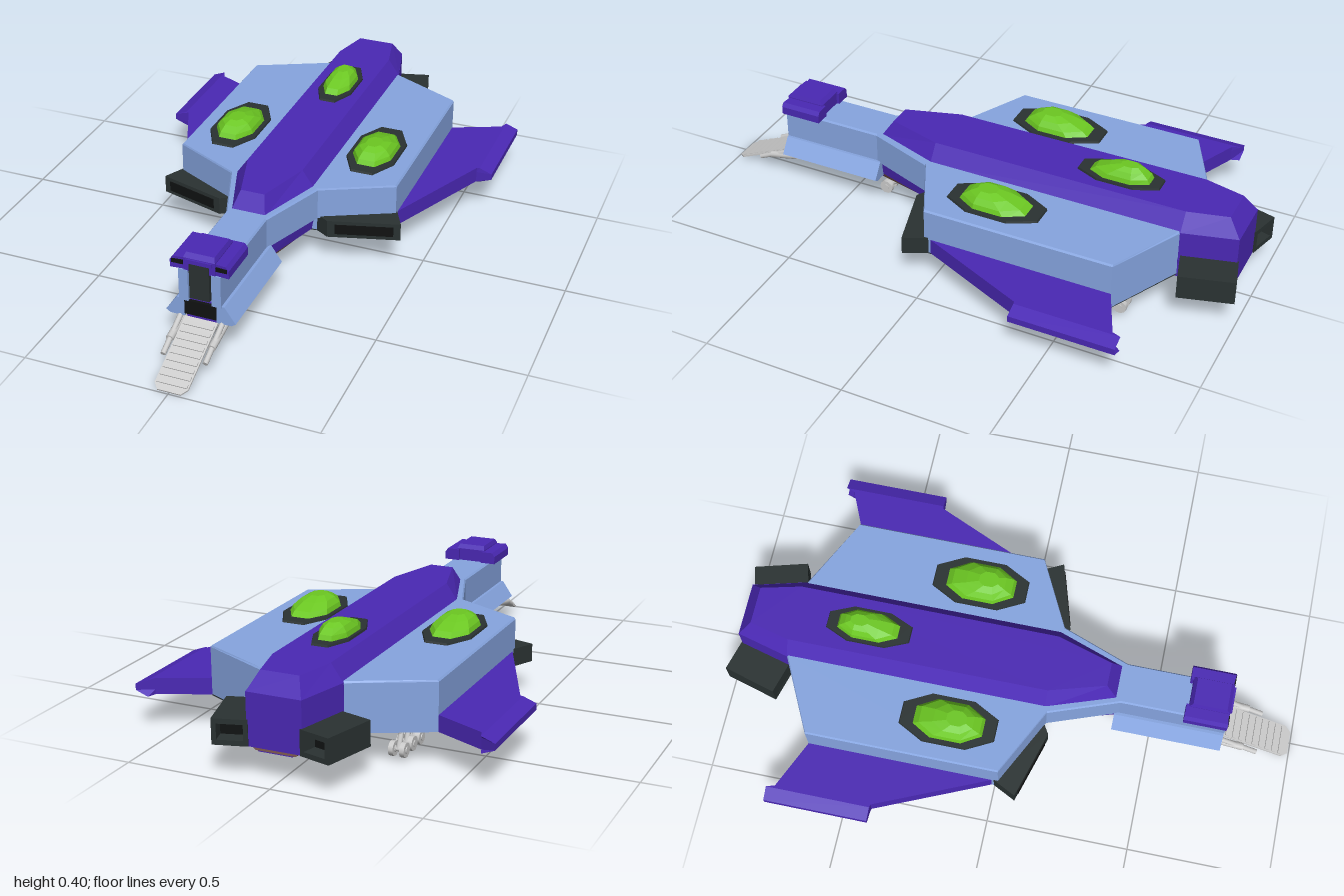
import * as THREE from 'three';

const mat = (color) => new THREE.MeshStandardMaterial({ color });
const M = {
  blue: mat(0x86a5e0), purple: mat(0x4a28b4), dark: mat(0x2a3232), black: mat(0x101212),
  green: mat(0x6cc822), brown: mat(0x805a50), grey: mat(0xcccccc),
};

// Mirror a half outline of [x, z] points across x = 0
const mirror = (half) => [...half, ...half.map(([x, z]) => [-x, z]).reverse()];
const flip = (pts) => pts.map(([x, z]) => [-x, z]);

// Faceted solid through horizontal outlines, bottom to top: [[y, points], ...]
function loft(levels) {
  let rings = levels.map(([y, pts]) => pts.map(([x, z]) => new THREE.Vector3(x, y, z)));
  const flat = (r) => r.map((p) => new THREE.Vector2(p.x, -p.z));
  if (THREE.ShapeUtils.area(flat(rings[0])) < 0) rings = rings.map((r) => r.slice().reverse());
  const tri = [];
  const n = rings[0].length;
  for (let k = 0; k + 1 < rings.length; k++) {
    for (let i = 0; i < n; i++) {
      const j = (i + 1) % n;
      const a = rings[k][i], b = rings[k][j], c = rings[k + 1][j], d = rings[k + 1][i];
      tri.push(a, b, c, a, c, d);
    }
  }
  const bottom = rings[0], top = rings[rings.length - 1];
  for (const [a, b, c] of THREE.ShapeUtils.triangulateShape(flat(bottom), [])) tri.push(bottom[c], bottom[b], bottom[a]);
  for (const [a, b, c] of THREE.ShapeUtils.triangulateShape(flat(top), [])) tri.push(top[a], top[b], top[c]);
  const g = new THREE.BufferGeometry().setFromPoints(tri);
  g.computeVertexNormals();
  return g;
}

function add(parent, name, geometry, material, x = 0, y = 0, z = 0) {
  const m = new THREE.Mesh(geometry, material);
  m.name = name;
  m.position.set(x, y, z);
  parent.add(m);
  return m;
}
const box = (w, h, d) => new THREE.BoxGeometry(w, h, d);

// Round bar between two points
function rod(parent, name, a, b, r) {
  const p = new THREE.Vector3(...a), d = new THREE.Vector3(...b).sub(p);
  const m = add(parent, name, new THREE.CylinderGeometry(r, r, d.length(), 10), M.grey);
  m.position.copy(p).addScaledVector(d, 0.5);
  m.quaternion.setFromUnitVectors(new THREE.Vector3(0, 1, 0), d.normalize());
}

// Long octagon outline
const octagon = (w, d, z = 0) => mirror([[w * 0.45, z + d], [w, z + d * 0.45], [w, z - d * 0.45], [w * 0.45, z - d]]);

// Faceted canopy on a dark base plate; dir tells which way the peak leans
function canopy(parent, x, y, z, w, d, dir) {
  const g = new THREE.Group();
  g.name = 'canopy';
  g.position.set(x, y, z);
  add(g, 'canopyBase', loft([[-0.01, octagon(w, d)], [0.006, octagon(w * 0.95, d * 0.96)]]), M.dark);
  add(g, 'canopyGlass', loft([
    [0, octagon(w * 0.8, d * 0.74)],
    [0.022, octagon(w * 0.72, d * 0.62, dir * 0.008)],
    [0.04, octagon(w * 0.55, d * 0.4, dir * 0.02)],
    [0.052, octagon(w * 0.3, d * 0.2, dir * 0.03)],
  ]), M.green);
  parent.add(g);
}

// Strut with a twin wheel at the foot
function wheelLeg(parent, x, zTop, yTop, zFoot, gap) {
  const g = new THREE.Group();
  g.name = 'landingLeg';
  rod(g, 'strut', [x, yTop, zTop], [x, 0.037, zFoot], 0.009);
  rod(g, 'damper', [x, yTop, zTop - 0.02], [x, 0.075, (zTop + zFoot) / 2], 0.006);
  rod(g, 'axle', [x - gap, 0.037, zFoot], [x + gap, 0.037, zFoot], 0.008);
  for (const s of [-1, 1]) {
    const r = 0.025;
    rod(g, 'wheel', [x + s * gap - 0.008, 0.037, zFoot], [x + s * gap + 0.008, 0.037, zFoot], r);
    rod(g, 'hub', [x + s * gap - 0.011, 0.037, zFoot], [x + s * gap + 0.011, 0.037, zFoot], r * 0.45);
  }
  parent.add(g);
}

export function createModel() {
  const ship = new THREE.Group();
  ship.name = 'spaceship';

  // Upper hull with neck
  const hull = (i) => mirror([[0.072 - i, 0.735], [0.072 - i, 0.38], [0.16 - i, 0.14], [0.4 - i, 0.02], [0.4 - i, -0.65], [0.14, -0.78 + i]]);
  add(ship, 'upperHull', loft([[0.175, hull(0)], [0.284, hull(0)], [0.29, hull(0.005)]]), M.blue);

  // Keel, brown trim and belly plate
  const keel = (w, s) => mirror([[s, 0.74], [s, 0.37], [w, 0.13], [w, -0.78], [w * 0.68, -0.96]]);
  add(ship, 'keel', loft([[0.12, keel(0.135, 0.06)], [0.18, keel(0.145, 0.068)]]), M.purple);
  const trim = (w, s) => mirror([[s, 0.37], [w, 0.13], [w, -0.78], [w * 0.68, -0.96]]);
  add(ship, 'brownTrim', loft([[0.1, trim(0.1, 0.05)], [0.12, trim(0.13, 0.06)]]), M.brown);
  add(ship, 'bellyPlate', loft([[0.097, keel(0.085, 0.045)], [0.121, keel(0.095, 0.055)]]), M.purple);

  // Spine ridge and tail block
  const ridge = (w, s, zf, zb) => mirror([[s, zf], [w, 0.13], [w, -0.78], [w * 0.66, zb]]);
  add(ship, 'spine', loft([[0.285, ridge(0.142, 0.06, 0.365, -0.965)], [0.345, ridge(0.1, 0.042, 0.325, -0.92)]]), M.purple);
  const tail = mirror([[0.142, -0.74], [0.142, -0.78], [0.094, -0.965]]);
  add(ship, 'tailBlock', loft([[0.11, tail], [0.286, tail]]), M.purple);

  // Canopies
  canopy(ship, 0, 0.346, -0.515, 0.066, 0.15, -1);
  for (const s of [-1, 1]) canopy(ship, s * 0.26, 0.291, -0.18, 0.09, 0.17, 1);

  for (const s of [-1, 1]) {
    const side = (pts) => (s > 0 ? pts : flip(pts));

    // Lower hull and underside panel
    const lower = [[0.13, 0.13], [0.18, 0.125], [0.4, 0.02], [0.4, -0.65], [0.14, -0.78], [0.12, -0.7]];
    add(ship, 'lowerHull', loft([[0.12, side(lower)], [0.18, side(lower)]]), M.blue);
    if (s > 0) add(ship, 'undersidePanel', loft([[0.117, side(lower)], [0.121, side(lower)]]), M.dark);

    // Wing with a thinned tip
    const wing = (tip, in_) => side([[0.39, 0.02], [0.57, -0.39], [tip, -0.392 - in_], [tip, -0.755 + in_], [0.57, -0.725], [0.39, -0.645]]);
    add(ship, 'wing', loft([[0.12, wing(0.58, 0)], [0.137, wing(0.625, 0)], [0.159, wing(0.625, 0)], [0.176, wing(0.58, 0)]]), M.purple);

    // Front intake pod with slot
    const pod = [[0.14, 0.06], [0.15, 0.125], [0.2, 0.155], [0.44, 0.085], [0.395, -0.005]];
    add(ship, 'intakePod', loft([[0.118, side(pod)], [0.181, side(pod)]]), M.dark);
    const slot = add(ship, 'intakeSlot', box(0.2, 0.036, 0.01), M.black, s * 0.32, 0.15, 0.118);
    slot.rotation.y = s * 0.284;

    // Rear engine with nozzle
    const engine = new THREE.Group();
    engine.name = 'engine';
    engine.position.set(s * 0.168, 0.153, -0.892);
    engine.rotation.y = s * 0.27;
    const shape = new THREE.Shape([[-0.057, -0.043], [0.057, -0.043], [0.057, 0.043], [-0.057, 0.043]].map((p) => new THREE.Vector2(...p)));
    shape.holes.push(new THREE.Path([[-0.042, -0.026], [-0.042, 0.026], [0.042, 0.026], [0.042, -0.026]].map((p) => new THREE.Vector2(...p))));
    add(engine, 'engineShell', new THREE.ExtrudeGeometry(shape, { depth: 0.19, bevelEnabled: false }), M.dark, 0, 0, -0.095);
    add(engine, 'engineCore', box(0.09, 0.06, 0.13), M.black, 0, 0, 0.02);
    add(engine, 'engineFront', box(0.11, 0.08, 0.02), M.dark, 0, 0, 0.084);
    ship.add(engine);

    // Neck flank, sloping outward and down
    const flank = (x) => side([[0.055, 0.75], [x, 0.75], [x, 0.365], [0.055, 0.365]]);
    add(ship, 'neckFlank', loft([[0.115, flank(0.105)], [0.125, flank(0.12)], [0.18, flank(0.082)]]), M.blue);

    // Hood ear with dark vent
    const ear = (o) => side([[0.045, 0.745], [o, 0.75], [o, 0.6], [0.045, 0.6]]);
    add(ship, 'hoodEar', loft([[0.29, ear(0.1)], [0.318, ear(0.1)], [0.332, ear(0.09)]]), M.purple);
    add(ship, 'hoodVent', box(0.038, 0.014, 0.01), M.black, s * 0.075, 0.316, 0.747);

    // Door posts
    add(ship, 'doorPost', box(0.032, 0.115, 0.02), M.blue, s * 0.056, 0.2325, 0.742);

    // Rear landing gear
    add(ship, 'gearMount', box(0.06, 0.012, 0.2), M.grey, s * 0.262, 0.114, -0.55);
    for (const z of [-0.52, -0.58, -0.64]) wheelLeg(ship, s * 0.262, z + 0.03, 0.118, z, 0.019);

    // Ramp side struts
    rod(ship, 'rampStrut', [s * 0.072, 0.115, 0.74], [s * 0.072, 0.05, 0.88], 0.009);
    rod(ship, 'rampPiston', [s * 0.072, 0.098, 0.72], [s * 0.072, 0.075, 0.83], 0.013);
  }

  // Nose hood, doorway and sill
  const hood = (w, i) => mirror([[w, 0.75 - i], [w, 0.61 + i]]);
  add(ship, 'noseHood', loft([[0.288, hood(0.054, 0)], [0.335, hood(0.054, 0)], [0.35, hood(0.048, 0.012)]]), M.purple);
  add(ship, 'door', box(0.068, 0.13, 0.02), M.dark, 0, 0.255, 0.744);
  add(ship, 'doorHeader', box(0.09, 0.014, 0.02), M.purple, 0, 0.326, 0.746);
  add(ship, 'rampBay', box(0.11, 0.052, 0.02), M.black, 0, 0.15, 0.741);

  // Boarding ramp with treads
  const ramp = new THREE.Group();
  ramp.name = 'boardingRamp';
  ramp.position.set(0, 0.112, 0.745);
  ramp.rotation.x = 0.405;
  const plate = mirror([[0.057, 0], [0.057, 0.25], [0.04, 0.272]]);
  add(ramp, 'rampPlate', loft([[-0.006, plate], [0, plate]]), M.grey);
  for (let i = 0; i < 9; i++) add(ramp, 'rampTread', box(0.104, 0.004, 0.015), M.grey, 0, 0.002, 0.025 + i * 0.027);
  ship.add(ramp);

  // Nose landing gear
  add(ship, 'noseGearMount', box(0.05, 0.012, 0.1), M.grey, 0, 0.096, 0.25);
  wheelLeg(ship, 0, 0.27, 0.1, 0.375, 0.02);
  return ship;
}
